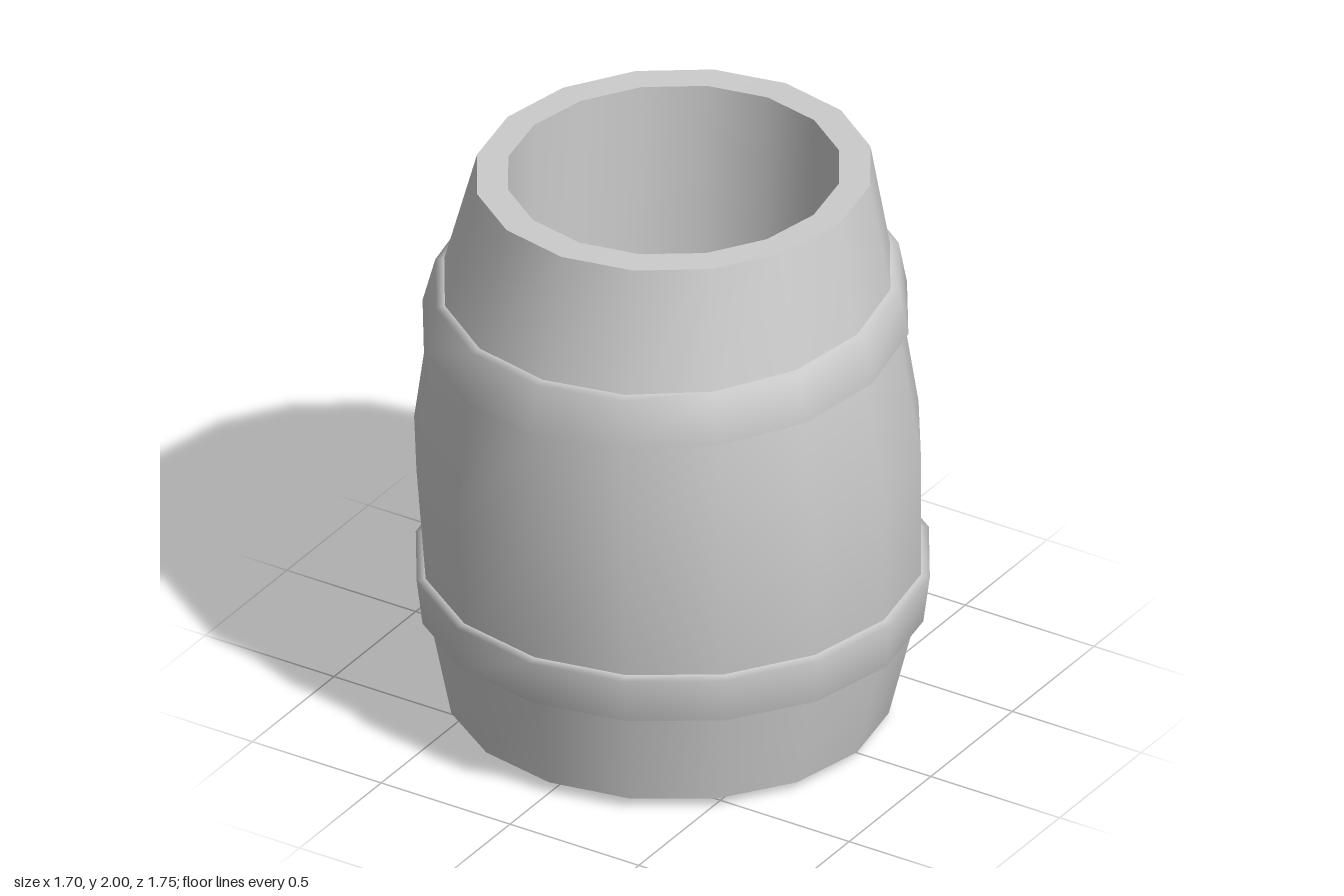
import * as THREE from 'three';

const SIDES = 16;
const material = new THREE.MeshStandardMaterial({ color: 0xcccccc, side: THREE.DoubleSide });

// A tilted oval hoop: half width, front z, back z, front y, back y
const ring = (w, zf, zb, yf, yb) => ({ w, zf, zb, yf, yb });

// Same hoop grown outwards by d and raised by h
const grow = (r, d, h = 0) => ring(r.w + d, r.zf + d, r.zb - d, r.yf + h, r.yb + h);

// Hoop shrunk to its centre, for closing a disc
const centre = (r) => {
  const z = (r.zf + r.zb) / 2, y = (r.yf + r.yb) / 2;
  return ring(0, z, z, y, y);
};

// Smooth skin through a series of hoops
function loft(name, rings) {
  const positions = [], index = [];
  for (const r of rings) {
    for (let i = 0; i < SIDES; i++) {
      const a = (i / SIDES) * Math.PI * 2, c = Math.cos(a);
      positions.push(
        r.w * Math.sin(a),
        (r.yf + r.yb) / 2 + ((r.yf - r.yb) / 2) * c,
        (r.zf + r.zb) / 2 + ((r.zf - r.zb) / 2) * c
      );
    }
  }
  for (let j = 0; j < rings.length - 1; j++) {
    for (let i = 0; i < SIDES; i++) {
      const k = (i + 1) % SIDES;
      const a = j * SIDES + i, b = j * SIDES + k;
      index.push(a, b, b + SIDES, a, b + SIDES, a + SIDES);
    }
  }
  const geometry = new THREE.BufferGeometry();
  geometry.setAttribute('position', new THREE.Float32BufferAttribute(positions, 3));
  geometry.setIndex(index);
  geometry.computeVertexNormals();
  const mesh = new THREE.Mesh(geometry, material);
  mesh.name = name;
  return mesh;
}

export function createModel() {
  const barrel = new THREE.Group();
  barrel.name = 'barrel';

  // Hoops of the slightly crooked outer wall, bottom to top
  const bottom = ring(0.73, 0.76, -0.71, 0.04, 0.0);
  const lowA = ring(0.80, 0.83, -0.82, 0.38, 0.33);
  const lowB = ring(0.82, 0.85, -0.845, 0.56, 0.52);
  const middle = ring(0.843, 0.88, -0.81, 0.97, 1.03);
  const highA = ring(0.775, 0.84, -0.745, 1.41, 1.48);
  const highB = ring(0.737, 0.80, -0.728, 1.59, 1.64);
  const top = ring(0.645, 0.685, -0.69, 2.0, 1.98);
  barrel.add(loft('outerWall', [bottom, lowA, lowB, middle, highA, highB, top]));

  // Top rim, inner wall and inside floor
  const mouth = ring(0.543, 0.575, -0.58, 2.0, 1.98);
  const well = ring(0.543, 0.585, -0.565, 0.17, 0.15);
  barrel.add(loft('topRim', [top, mouth]));
  barrel.add(loft('innerWall', [mouth, well]));
  barrel.add(loft('insideFloor', [well, centre(well)]));

  // Recessed underside
  const lip = grow(bottom, -0.10);
  const recess = grow(bottom, -0.148, 0.065);
  barrel.add(loft('base', [centre(recess), recess]));
  barrel.add(loft('recessWall', [recess, lip]));
  barrel.add(loft('bottomRim', [lip, bottom]));

  // Raised bands around the wall
  const band = (name, a, b) => loft(name, [a, grow(a, 0.03, 0.012), grow(b, 0.03, -0.008), b]);
  barrel.add(band('lowerBand', lowA, lowB));
  barrel.add(band('upperBand', highA, highB));

  return barrel;
}
